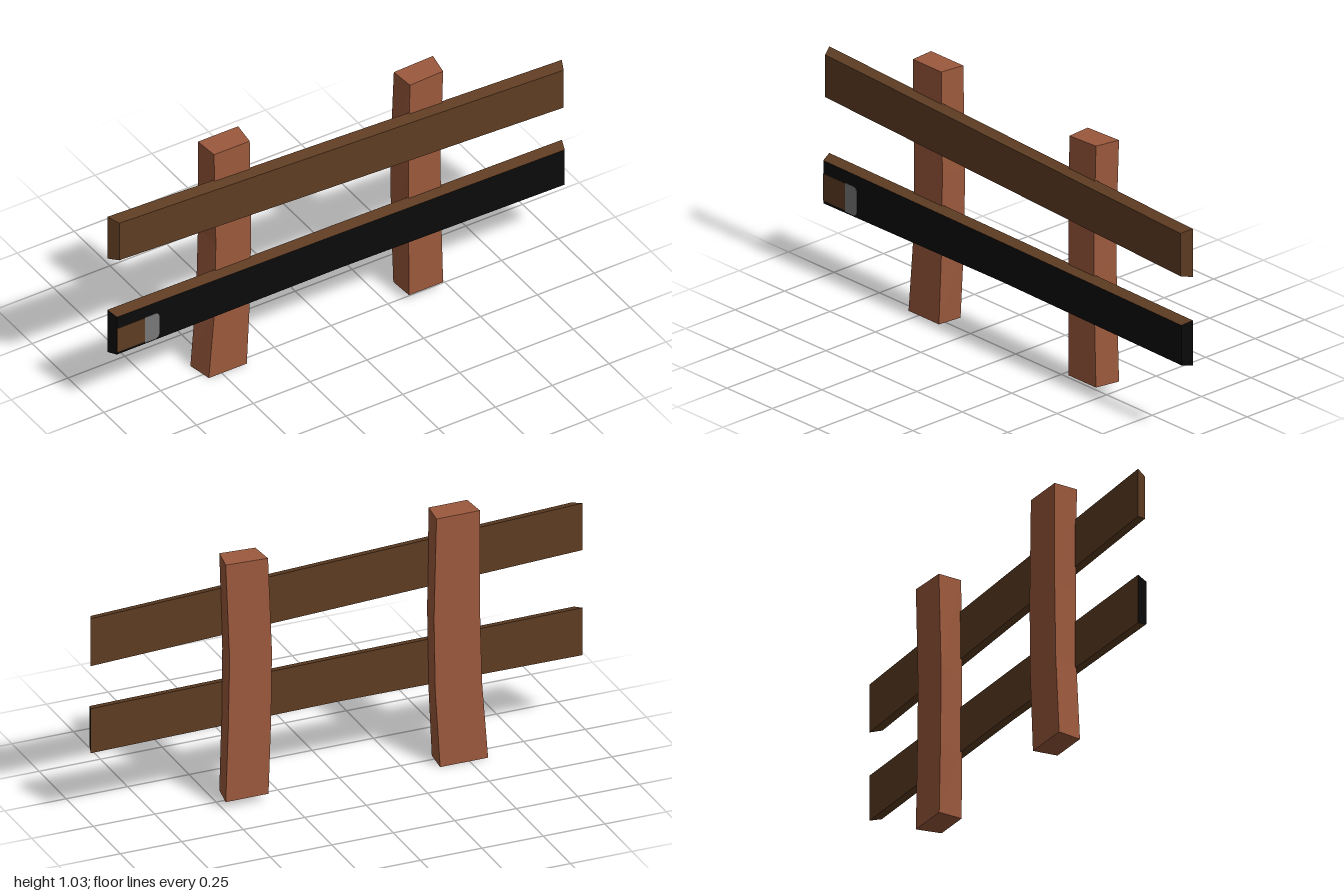
import * as THREE from 'three';

const mat = (name, color) => {
  const m = new THREE.MeshStandardMaterial({ color });
  m.name = name;
  return m;
};

// Flat-faced beam through four-cornered sections; groups: four sides, start cap, end cap
function beam(sections) {
  const pos = [];
  const geo = new THREE.BufferGeometry();
  const quad = (a, b, c, d) => pos.push(...a, ...b, ...c, ...a, ...c, ...d);
  const group = (index, draw) => {
    const start = pos.length / 3;
    draw();
    geo.addGroup(start, pos.length / 3 - start, index);
  };
  for (let i = 0; i < 4; i++) {
    const j = (i + 1) % 4;
    group(i, () => {
      for (let s = 0; s < sections.length - 1; s++) {
        const a = sections[s], b = sections[s + 1];
        quad(a[i], a[j], b[j], b[i]);
      }
    });
  }
  const [p, q, r, t] = sections[0];
  group(4, () => quad(t, r, q, p));
  group(5, () => quad(...sections[sections.length - 1]));
  geo.setAttribute('position', new THREE.Float32BufferAttribute(pos, 3));
  geo.computeVertexNormals();
  return geo;
}

// Post section: wide at the back, narrower at the front; yl and yr are the side heights
const postSection = ([yl, yr, xl, xr, insetL, insetR]) => [
  [xl + insetL, yl, 0.03], [xr - insetR, yr, 0.03], [xr, yr, -0.07], [xl, yl, -0.07],
];

// Rail section: full height at the back, bevelled towards the front
const railSection = ([xBack, xFront, y0, y1]) => [
  [xFront, y0 + 0.01, 0.068], [xBack, y0, 0.024], [xBack, y1, 0.024], [xFront, y1 - 0.012, 0.068],
];

export function createModel() {
  const model = new THREE.Group();
  const postWood = mat('reddish post wood', 0x9c593d);
  const railWood = mat('brown rail wood', 0x5e3c22);
  const black = mat('black paint', 0x0a0a0a);
  const grey = mat('grey paint', 0x787878);

  const add = (name, geometry, material) => {
    const mesh = new THREE.Mesh(geometry, material);
    mesh.name = name;
    model.add(mesh);
    return mesh;
  };

  // Two crooked posts
  add('rightPost', beam([
    [0, 0, -0.575, -0.38, 0.018, 0.01],
    [0.32, 0.32, -0.55, -0.36, 0.02, 0.015],
    [0.62, 0.62, -0.542, -0.355, 0.016, 0.016],
    [1.035, 1.035, -0.542, -0.365, 0.008, 0.012],
  ].map(postSection)), postWood);
  add('leftPost', beam([
    [0.03, 0.03, 0.318, 0.492, 0.006, 0.018],
    [0.32, 0.32, 0.308, 0.482, 0.014, 0.016],
    [0.62, 0.62, 0.304, 0.476, 0.018, 0.014],
    [1.01, 1.016, 0.32, 0.492, 0.008, 0.018],
  ].map(postSection)), postWood);

  // Sloping upper rail
  add('upperRail', beam([
    [-1, -0.975, 0.735, 0.93],
    [1, 0.98, 0.655, 0.852],
  ].map(railSection)), railWood);

  // Slightly bowed lower rail with a black front and ends
  add('lowerRail', beam([
    [-1, -0.985, 0.298, 0.495],
    [0, 0, 0.305, 0.488],
    [1, 0.985, 0.293, 0.478],
  ].map(railSection)), [railWood, railWood, railWood, black, black, black]);

  // Painted patches at one end of the lower rail
  const patch = (x0, x1, y0, y1, r) => {
    const s = new THREE.Shape();
    s.moveTo(x0, y0);
    s.lineTo(x1 - r, y0);
    s.quadraticCurveTo(x1, y0, x1, y0 + r);
    s.lineTo(x1, y1 - r);
    s.quadraticCurveTo(x1, y1, x1 - r, y1);
    s.lineTo(x0, y1);
    return new THREE.ExtrudeGeometry(s, { depth: 0.003, bevelEnabled: false });
  };
  add('brownPatch', patch(-0.983, -0.862, 0.32, 0.43, 0.005), railWood).position.z = 0.067;
  add('greyPatch', patch(-0.862, -0.8, 0.315, 0.432, 0.02), grey).position.z = 0.067;

  return model;
}
